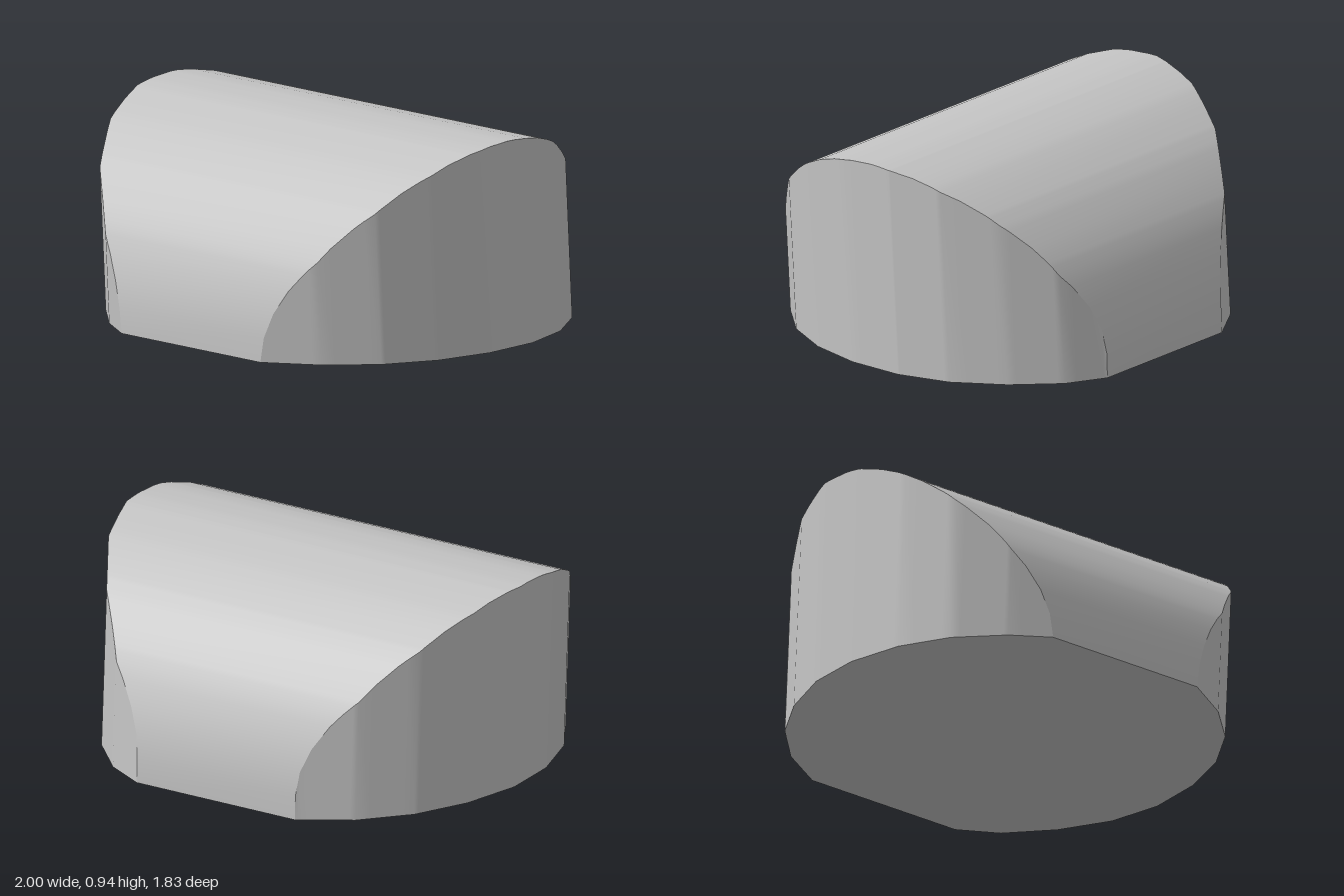
import * as THREE from 'three';

// Half-cylinder vault trimmed by a slightly leaning, many-sided round column.
const RADIUS = 0.913, CENTRE_Y = 0.027, LEAN = 0.06, HALF_Z = 0.9126;

// Side outlines at floor level, front to back: [x, z]
const LEFT_SIDE = [[0.345, 0.913], [0.58, 0.772], [0.77, 0.589], [0.905, 0.36], [0.98, 0.105],
  [0.995, -0.16], [0.94, -0.405], [0.81, -0.63], [0.64, -0.815], [0.46, -0.913]];
const RIGHT_SIDE = [[-0.47, 0.913], [-0.64, 0.805], [-0.82, 0.626], [-0.94, 0.41], [-1, 0.155],
  [-0.99, -0.1], [-0.905, -0.36], [-0.77, -0.59], [-0.58, -0.78], [-0.35, -0.913]];

// x of an outline at depth z
function outlineX(side, z) {
  for (let i = 0; i < side.length - 1; i++) {
    const [x0, z0] = side[i], [x1, z1] = side[i + 1];
    if (z >= z1 || i === side.length - 2) {
      return x0 + (x1 - x0) * THREE.MathUtils.clamp((z0 - z) / (z0 - z1), 0, 1);
    }
  }
}

// Surface between two rows of points
function strip(name, a, b, material) {
  const index = [], n = a.length;
  for (let i = 0; i < n - 1; i++) {
    index.push(i, n + i, n + i + 1, i, n + i + 1, i + 1);
  }
  const geometry = new THREE.BufferGeometry().setFromPoints([...a, ...b]);
  geometry.setIndex(index);
  geometry.computeVertexNormals();
  const mesh = new THREE.Mesh(geometry, material);
  mesh.name = name;
  return mesh;
}

export function createModel() {
  const grey = new THREE.MeshStandardMaterial({ color: 0xc4c4c4 });
  grey.name = 'light grey';

  // Vault angles: even steps plus the angle where each column edge meets the vault
  const start = -Math.asin(CENTRE_Y / RADIUS), end = Math.PI - start;
  const angles = [];
  for (let i = 0; i <= 26; i++) angles.push(start + (end - start) * i / 26);
  for (const [, z] of [...LEFT_SIDE.slice(1, -1), ...RIGHT_SIDE.slice(1, -1)]) {
    angles.push(Math.acos((z + LEAN * CENTRE_Y) / (RADIUS * Math.hypot(1, LEAN))) - Math.atan(LEAN));
  }
  angles.sort((p, q) => p - q);

  // Upper and lower rim of each wall
  const rims = (side) => {
    const top = [], bottom = [];
    for (const angle of angles) {
      const y = Math.max(0, CENTRE_Y + RADIUS * Math.sin(angle));
      const z = RADIUS * Math.cos(angle);
      const floorZ = THREE.MathUtils.clamp(z - LEAN * y, -HALF_Z, HALF_Z);
      const x = outlineX(side, floorZ);
      top.push(new THREE.Vector3(x, y, z));
      bottom.push(new THREE.Vector3(x, 0, floorZ));
    }
    return { top, bottom };
  };
  const left = rims(LEFT_SIDE), right = rims(RIGHT_SIDE);

  const group = new THREE.Group();
  group.name = 'trimmedVault';
  group.add(
    strip('vaultRoof', right.top, left.top, grey),
    strip('leftWall', left.top, left.bottom, grey),
    strip('rightWall', right.bottom, right.top, grey),
    strip('base', left.bottom, right.bottom, grey),
  );
  return group;
}
